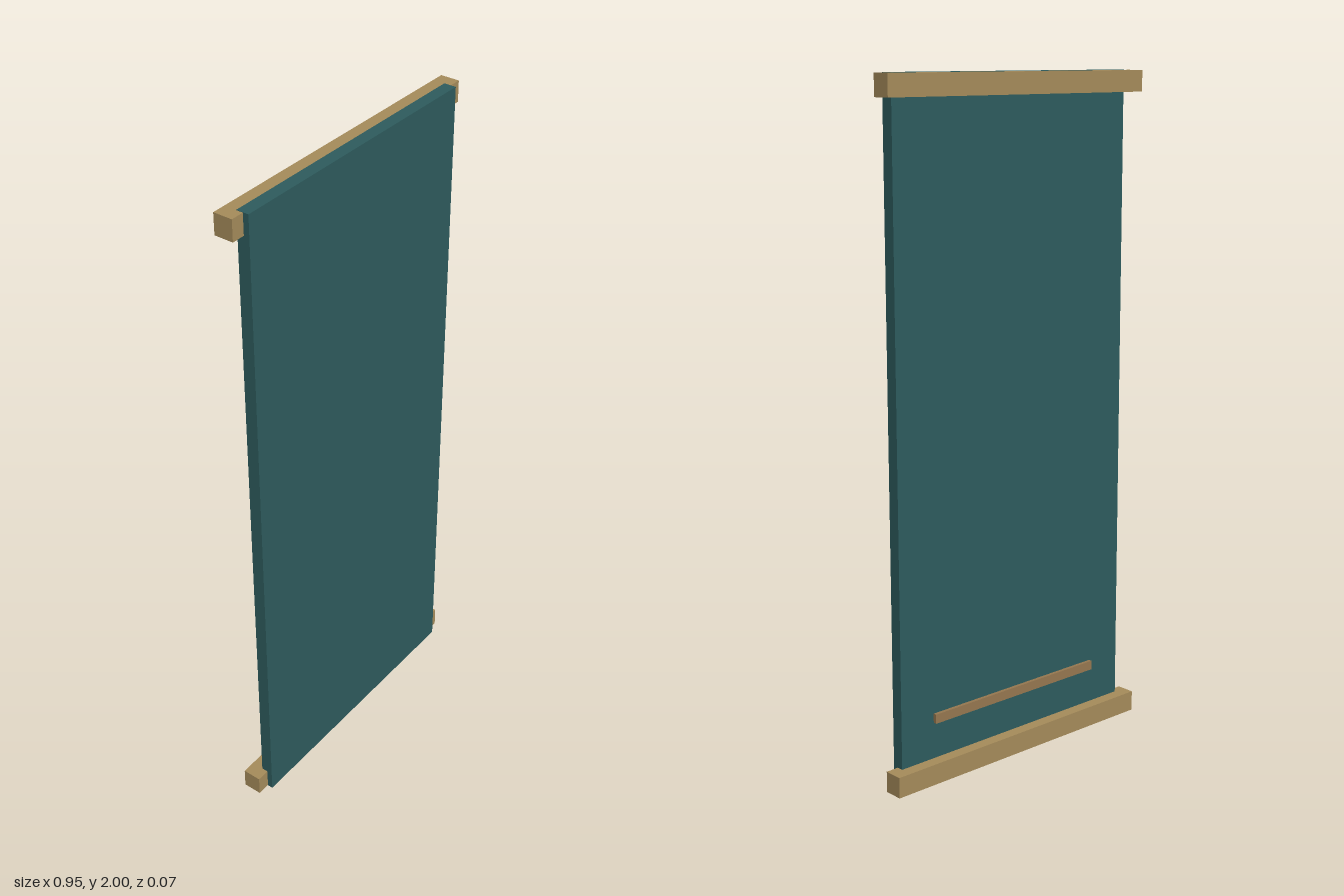
import * as THREE from 'three';

const cloth = new THREE.MeshStandardMaterial({ color: 0x2e5c5e });
cloth.name = 'teal cloth';
const wood = new THREE.MeshStandardMaterial({ color: 0xa68c5b });
wood.name = 'light wood';
const darkWood = new THREE.MeshStandardMaterial({ color: 0x967850 });
darkWood.name = 'brown wood';

// Box given by its size and centre
function box(name, material, size, centre) {
  const mesh = new THREE.Mesh(new THREE.BoxGeometry(...size), material);
  mesh.name = name;
  mesh.position.set(...centre);
  return mesh;
}

export function createModel() {
  const group = new THREE.Group();
  group.name = 'hangingPanel';

  // Main panel, the full height
  group.add(box('panel', cloth, [0.866, 2, 0.037], [0, 1, 0.0185]));

  // Rails let into the back, a hair inside the panel's ends
  for (const [name, y] of [['topRail', 1.968], ['bottomRail', 0.032]]) {
    group.add(box(name, wood, [0.946, 0.062, 0.057], [0, y, -0.0085]));
  }

  // Slim batten low on the back
  group.add(box('backBatten', darkWood, [0.63, 0.028, 0.016], [0, 0.186, -0.003]));

  return group;
}
